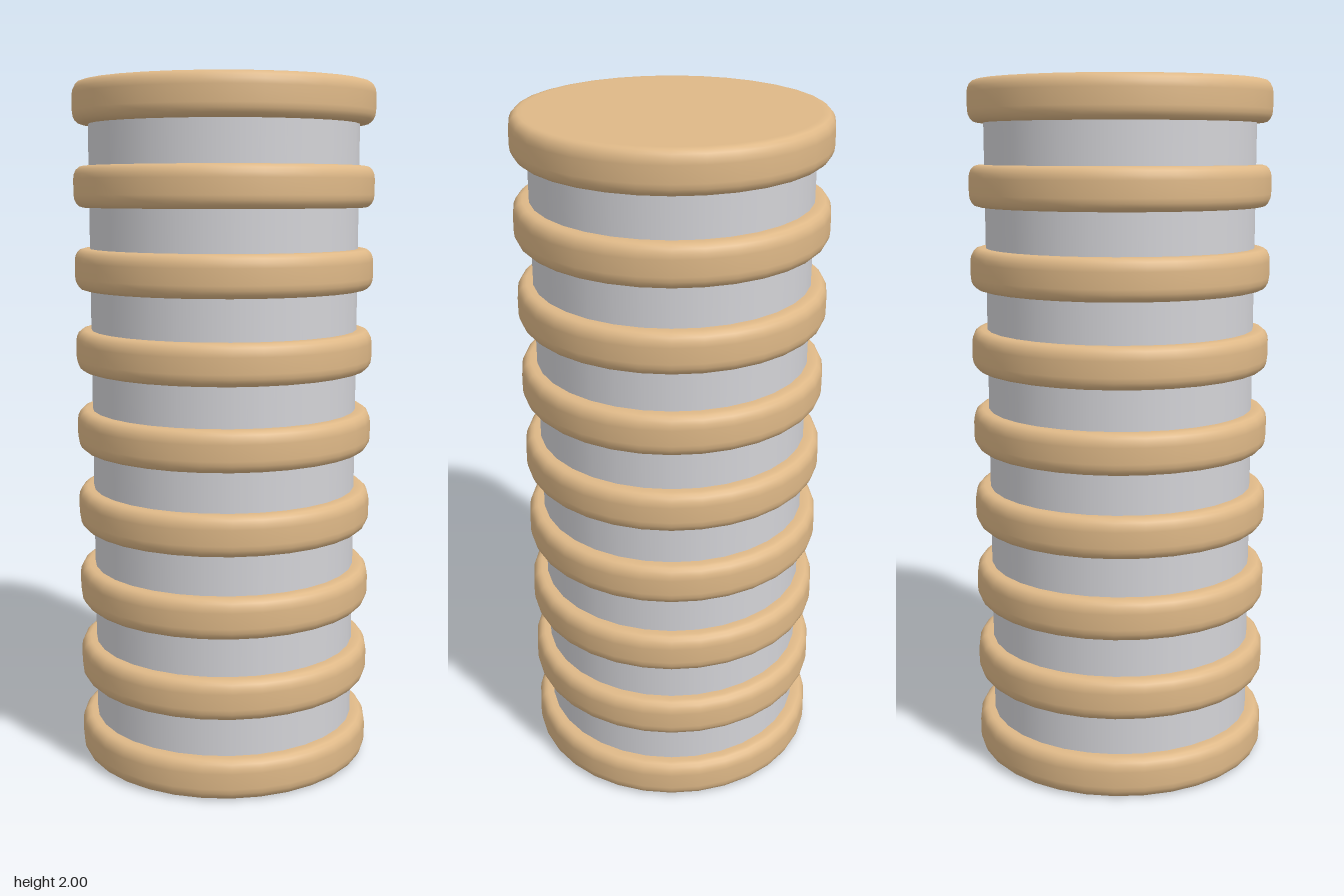
import * as THREE from 'three';

const SIDES = 32;
const DISCS = 9;
const THICK = 2 / (2 * DISCS - 1); // discs and gaps share one height
const RADIUS = 0.437;
const BEVEL_R = 0.026;
const BEVEL_H = 0.036;

// Half-rounded disc profile, from the bottom centre to the top centre
function discGeometry() {
  const inner = RADIUS - BEVEL_R;
  const steps = 4;
  const rim = [];
  for (let i = 0; i <= steps; i++) {
    const a = (i / steps) * Math.PI / 2;
    rim.push([inner + BEVEL_R * Math.sin(a), BEVEL_H * (1 - Math.cos(a))]);
  }
  // the extra ring just inside the bevel keeps the caps flat
  const lower = [[0, 0], [inner - 0.012, 0], ...rim];
  const upper = lower.map(([r, y]) => [r, THICK - y]).reverse();
  const points = [...lower, ...upper].map(([r, y]) => new THREE.Vector2(r, y));
  return new THREE.LatheGeometry(points, SIDES);
}

export function createModel() {
  const group = new THREE.Group();
  group.name = 'ringedColumn';

  const wood = new THREE.MeshStandardMaterial({ color: 0xdeb887 });
  wood.name = 'tan wood';
  const metal = new THREE.MeshStandardMaterial({ color: 0xd3d3d7 });
  metal.name = 'light grey';

  // Inner core, hidden inside the end discs
  const coreHeight = 2 - THICK;
  const core = new THREE.Mesh(
    new THREE.CylinderGeometry(0.392, 0.392, coreHeight, SIDES, 1, true), metal);
  core.name = 'core';
  core.position.y = 1;
  group.add(core);

  // Evenly stacked discs
  const geometry = discGeometry();
  for (let i = 0; i < DISCS; i++) {
    const disc = new THREE.Mesh(geometry, wood);
    disc.name = `disc${i + 1}`;
    disc.position.y = i * 2 * THICK;
    group.add(disc);
  }
  return group;
}
